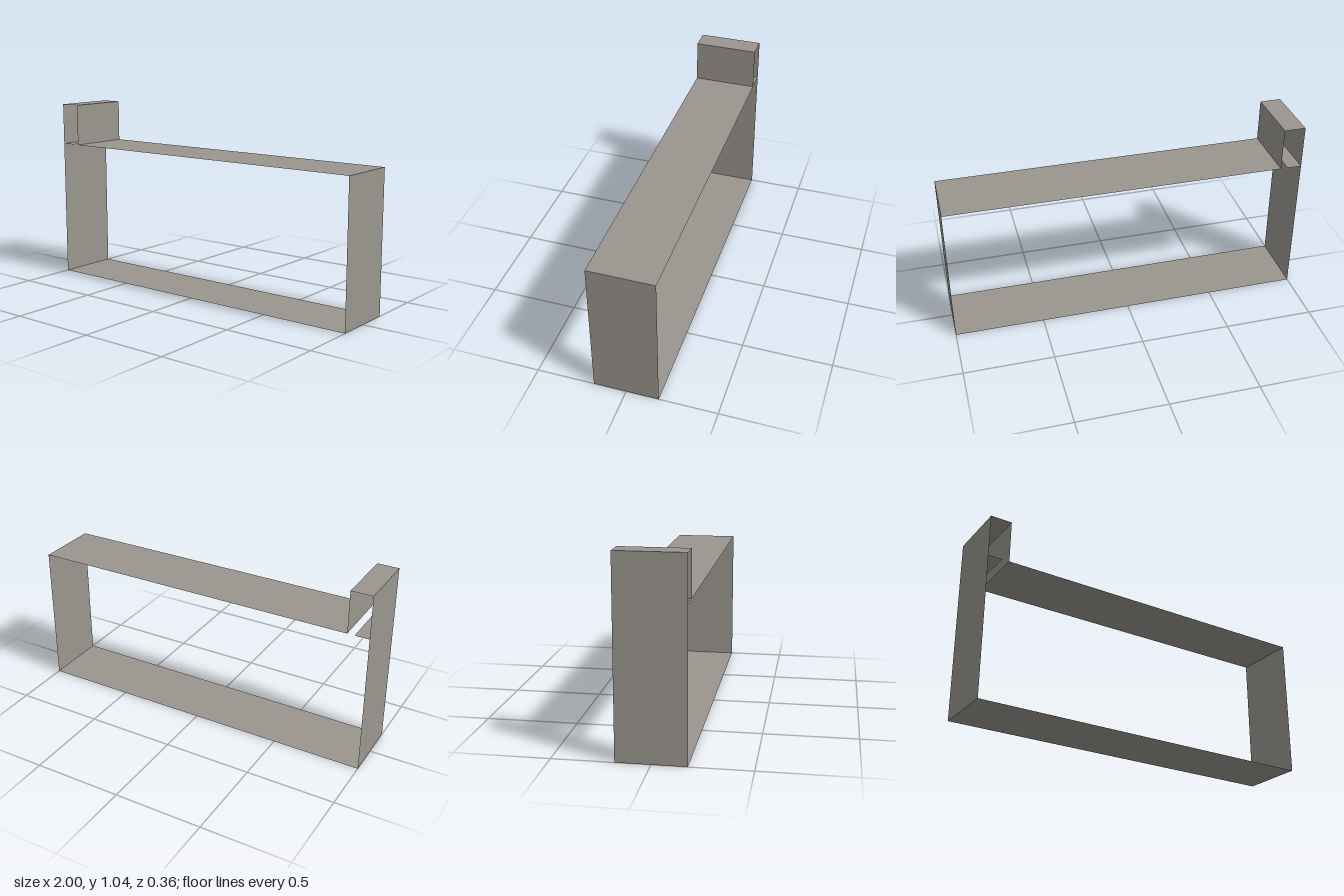
import * as THREE from 'three';

const DEPTH = 0.36;
const LEFT = 1, RIGHT = -1, SHAFT = -0.88, ROOF = 0.8, TOP = 1.04;

export function createModel() {
  const model = new THREE.Group();
  const wallGrey = new THREE.MeshStandardMaterial({ color: 0x9a968f, side: THREE.DoubleSide });
  wallGrey.name = 'warmGrey';

  // Thin sheet spanning the full depth between two points of the outline
  function sheet(name, x1, y1, x2, y2) {
    const length = Math.hypot(x2 - x1, y2 - y1);
    const geometry = new THREE.PlaneGeometry(length, DEPTH);
    geometry.rotateX(-Math.PI / 2);
    geometry.rotateZ(Math.atan2(y2 - y1, x2 - x1));
    geometry.translate((x1 + x2) / 2, (y1 + y2) / 2, 0);
    const mesh = new THREE.Mesh(geometry, wallGrey);
    mesh.name = name;
    model.add(mesh);
  }

  // Main open frame (normals face outwards)
  sheet('floor', LEFT, 0, RIGHT, 0);
  sheet('leftWall', LEFT, ROOF, LEFT, 0);
  sheet('roof', SHAFT, ROOF, LEFT, ROOF);
  sheet('rightWall', RIGHT, 0, RIGHT, TOP);

  // Raised corner shaft with a short ledge inside
  sheet('shaftInnerWall', SHAFT, TOP, SHAFT, ROOF);
  sheet('shaftCap', RIGHT, TOP, SHAFT, TOP);
  sheet('shaftLedge', RIGHT, ROOF, -0.92, ROOF);

  return model;
}
